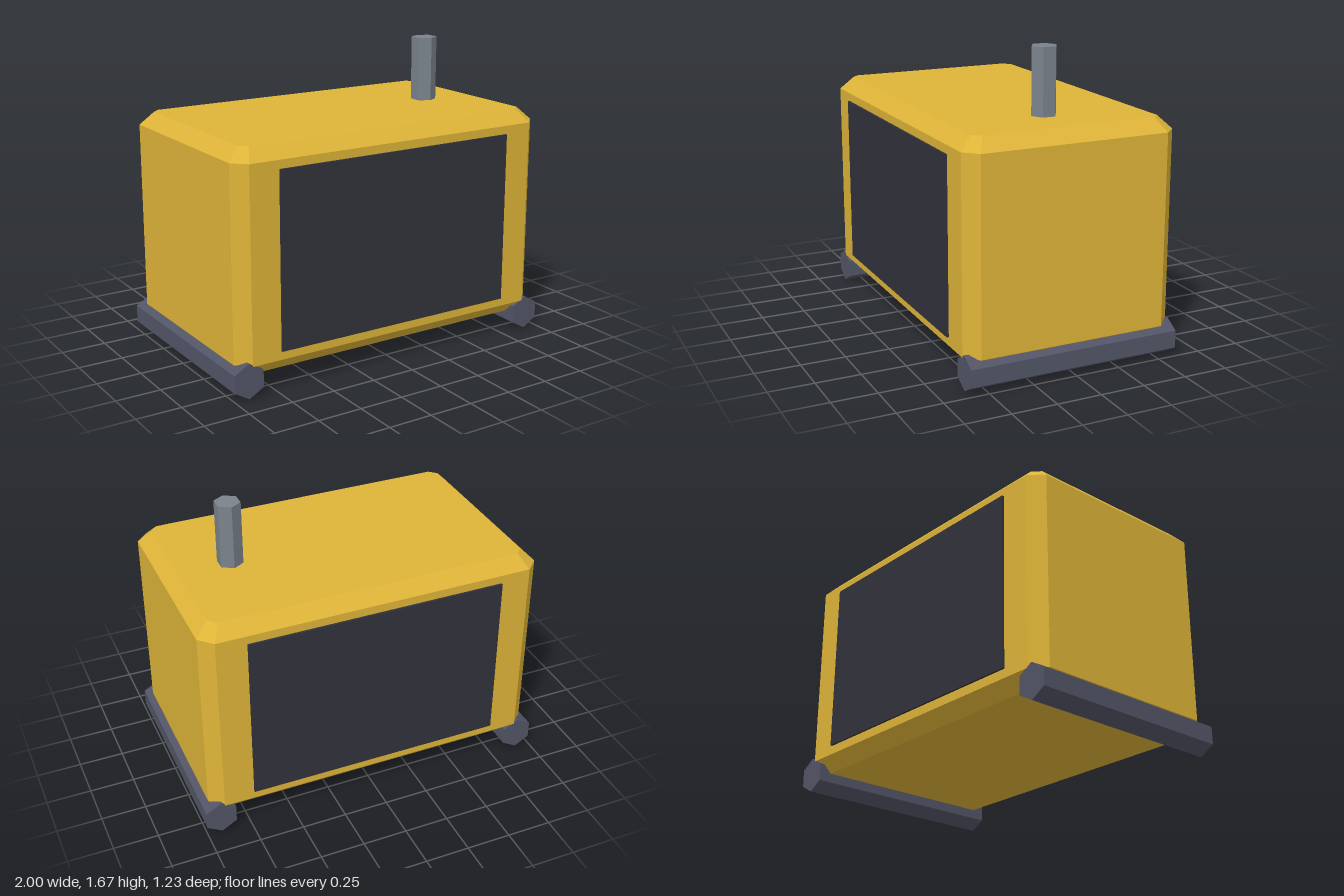
import * as THREE from 'three';
import { ConvexGeometry } from 'three/addons/geometries/ConvexGeometry.js';

const material = (name, color) => {
  const m = new THREE.MeshStandardMaterial({ color, flatShading: true });
  m.name = name;
  return m;
};

export function createModel() {
  const yellow = material('housing yellow', 0xdeb438);
  const charcoal = material('panel charcoal', 0x32323b);
  const slate = material('skid slate', 0x525566);
  const steel = material('exhaust steel', 0x7a838c);

  const group = new THREE.Group();
  const add = (name, geometry, mat, x, y, z) => {
    const mesh = new THREE.Mesh(geometry, mat);
    mesh.name = name;
    mesh.position.set(x, y, z);
    group.add(mesh);
    return mesh;
  };

  // Housing: stacked octagonal rings give bevelled edges and clipped corners
  const ring = (y, halfX, halfZ, cut) => {
    const points = [];
    for (const sx of [-1, 1]) for (const sz of [-1, 1]) {
      points.push(new THREE.Vector3(sx * halfX, y, sz * (halfZ - cut)));
      points.push(new THREE.Vector3(sx * (halfX - cut), y, sz * halfZ));
    }
    return points;
  };
  const housing = new ConvexGeometry([
    ...ring(0.1, 0.895, 0.53, 0.042),
    ...ring(0.172, 0.966, 0.601, 0.072),
    ...ring(1.232, 0.966, 0.601, 0.072),
    ...ring(1.303, 0.895, 0.53, 0.042),
  ]);
  add('housing', housing, yellow, 0, 0, 0);

  // Dark panels on front and back
  for (const [name, side] of [['frontPanel', 1], ['backPanel', -1]]) {
    add(name, new THREE.BoxGeometry(1.45, 0.965, 0.02), charcoal, 0, 0.703, side * 0.603);
  }

  // Hexagonal skids running front to back, one point down
  for (const [name, side] of [['leftSkid', 1], ['rightSkid', -1]]) {
    const skid = add(name, new THREE.CylinderGeometry(0.097, 0.097, 1.202, 6), slate, side * 0.916, 0.097, 0);
    skid.rotation.x = Math.PI / 2;
  }

  // Hexagonal exhaust stack
  add('exhaust', new THREE.CylinderGeometry(0.072, 0.072, 0.417, 6), steel, 0.6, 1.4585, 0);

  return group;
}
